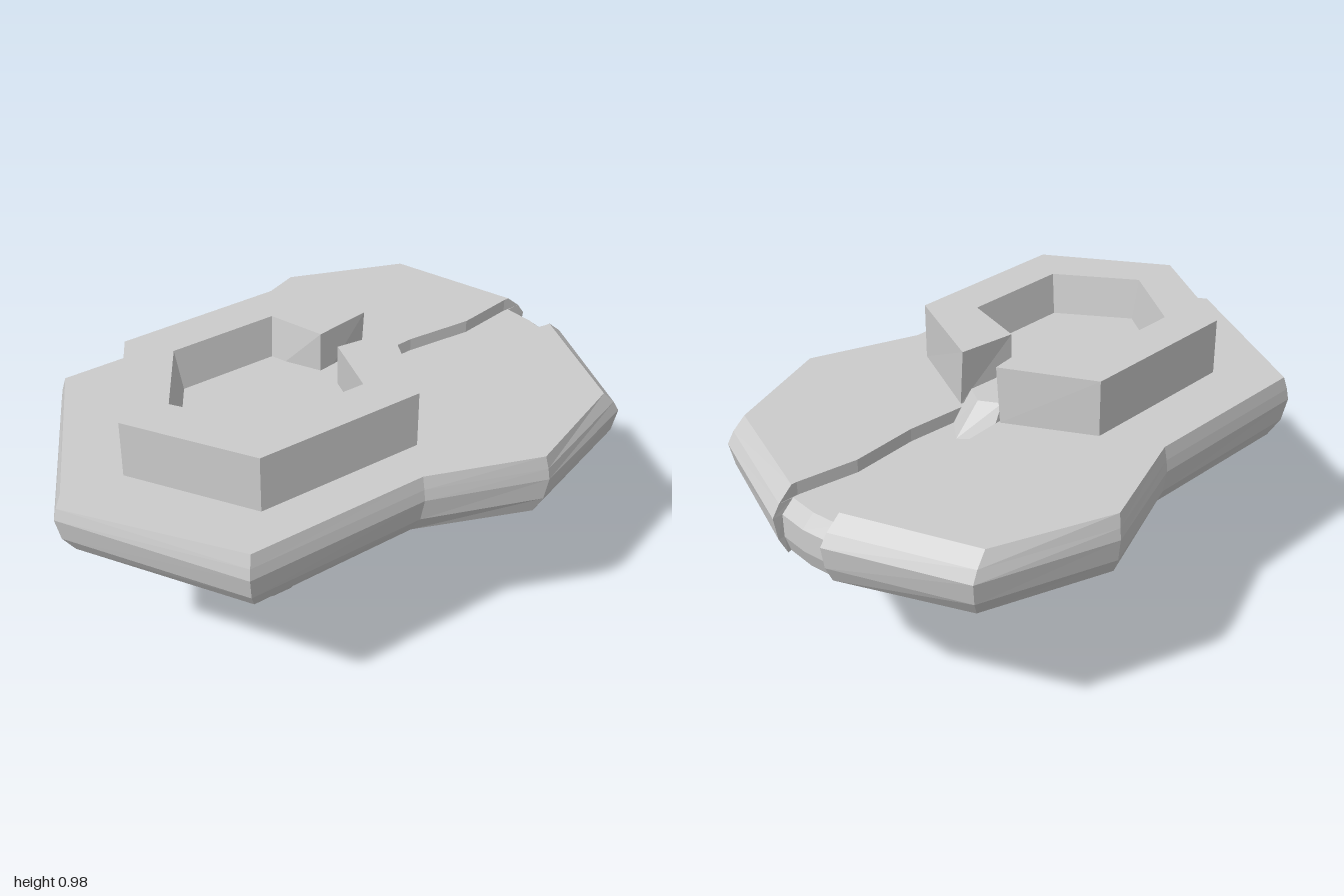
import * as THREE from 'three';

const material = new THREE.MeshStandardMaterial({ color: 0xcccccc, flatShading: true });

// Points [x, z] for the front half, continued by their mirror images at the back
function mirror(half) {
  const back = half.filter(p => p[1] !== 0).map(([x, z]) => [x, -z]).reverse();
  return [...half, ...back];
}
const lerp = (a, b, t) => a.map((p, i) => [0, 1].map(k => p[k] + (b[i][k] - p[k]) * t));
const scaled = (ring, s, cx) => ring.map(([x, z]) => [cx + (x - cx) * s, z * s]);

// Faceted skin through rings of equal point count, listed from low to high
function loft(levels) {
  const pos = [];
  for (let k = 0; k < levels.length - 1; k++) {
    const [y0, a] = levels[k], [y1, b] = levels[k + 1];
    for (let i = 0; i < a.length; i++) {
      const j = (i + 1) % a.length;
      const p = [a[i][0], y0, a[i][1]], q = [a[j][0], y0, a[j][1]];
      const r = [b[j][0], y1, b[j][1]], s = [b[i][0], y1, b[i][1]];
      pos.push(...p, ...q, ...r, ...p, ...r, ...s);
    }
  }
  const g = new THREE.BufferGeometry();
  g.setAttribute('position', new THREE.Float32BufferAttribute(pos, 3));
  g.computeVertexNormals();
  return g;
}

// Flat, upward-facing sheet
function sheet(ring, y) {
  const shape = new THREE.Shape(ring.map(([x, z]) => new THREE.Vector2(x, -z)));
  return new THREE.ShapeGeometry(shape).rotateX(-Math.PI / 2).translate(0, y, 0);
}

export function createModel() {
  const model = new THREE.Group();
  const add = (name, geometry, parent = model) => {
    const mesh = new THREE.Mesh(geometry, material);
    mesh.name = name;
    parent.add(mesh);
    return mesh;
  };

  // Slab outlines: underside, widest line and top edge
  const low = [[-0.94, 0], [-0.63, 0.54], [-0.03, 0.53], [0.35, 0.68], [0.78, 0.53], [0.96, 0.105]];
  const wide = [[-1, 0], [-0.67, 0.585], [-0.02, 0.58], [0.37, 0.72], [0.825, 0.565], [1, 0.11]];
  const high = [[-0.97, 0], [-0.655, 0.57], [-0.02, 0.565], [0.36, 0.705], [0.76, 0.55], [0.92, 0.11]];
  const shoulder = lerp(wide, high, 0.35);

  // Lower slab, with a shallow notch at the channel mouth
  const notched = (half, lip, tip) => mirror([...half, [lip, 0.108], [tip, 0]]);
  const floorRing = notched(shoulder, 0.92, 0.93);
  add('lowerSlab', loft([
    [0.56, notched(low, 0.945, 0.955)],
    [0.62, notched(lerp(low, wide, 0.7), 0.965, 0.975)],
    [0.7, notched(wide, 0.965, 0.975)],
    [0.74, floorRing],
  ]));
  add('channelFloor', sheet(floorRing, 0.74));

  // Upper slab, split by the winding channel
  const channel = [[0.9, 0.11], [0.69, 0.075], [0.45, 0.093], [0.2, 0.075], [0.1, 0.06]];
  const upper = half => mirror([...half, ...channel]);
  add('upperSlab', loft([[0.74, upper(shoulder)], [0.785, upper(high)]]));
  add('slabTop', sheet(upper(high), 0.785));

  // Tapering underside
  const neck = [[-0.545, 0], [-0.38, 0.28], [-0.09, 0.28], [0.33, 0.41], [0.52, 0.33], [0.6, 0.06]];
  add('underside', loft([[0.43, mirror(neck)], [0.56, mirror(low)]]));

  // Two pointed peaks hanging below
  const peak = (name, ring, cx, steps) =>
    add(name, loft(steps.map(([y, s]) => [y, scaled(ring, s, cx)])));
  peak('rightPeak', mirror([...neck.slice(0, 3), [0.1, 0]]), -0.22,
    [[0, 0], [0.07, 0.26], [0.2, 0.57], [0.3, 0.76], [0.43, 1]]);
  peak('leftPeak', mirror(neck.slice(2)), 0.33,
    [[0.13, 0], [0.21, 0.26], [0.3, 0.55], [0.43, 1]]);

  // Hexagonal basin, open towards the channel
  const basin = new THREE.Group();
  basin.name = 'basin';
  basin.position.z = 0.025;
  model.add(basin);
  const outer = [[-0.765, 0], [-0.52, 0.397], [0.07, 0.397]];
  const inner = [[0.025, 0.045], [-0.04, 0.255], [-0.42, 0.255], [-0.59, 0]];
  // The opening stays in line with the channel
  const wallRing = (s, gap) => {
    const inside = scaled(inner, s, -0.23);
    const back = ([x, z]) => [x, -z];
    const ends = [[0.225, gap - 0.02], [0.025, 0.03]];
    const backEnds = [[0.025, -0.065], [0.225, -gap - 0.02]];
    return [...outer, ...ends, ...inside.slice(1), ...inside.slice(1, 3).reverse().map(back),
      ...backEnds, ...outer.slice(1).reverse().map(back)];
  };
  add('basinWall', loft([[0.785, wallRing(0.88, 0.09)], [0.98, wallRing(1, 0.075)]]), basin);
  add('basinTop', sheet(wallRing(1, 0.075), 0.98), basin);
  add('basinFloor', sheet(mirror([...inner].reverse()), 0.84), basin);

  // Spout running down from the basin into the channel
  const spoutLow = mirror([[0, 0.08], [0.27, 0.085], [0.34, 0]]);
  const spoutHigh = mirror([[0, 0.06], [0.2, 0.07], [0.24, 0]]);
  add('spout', loft([[0.74, spoutLow], [0.84, spoutHigh]]));
  add('spoutTop', sheet(spoutHigh, 0.84));

  return model;
}
